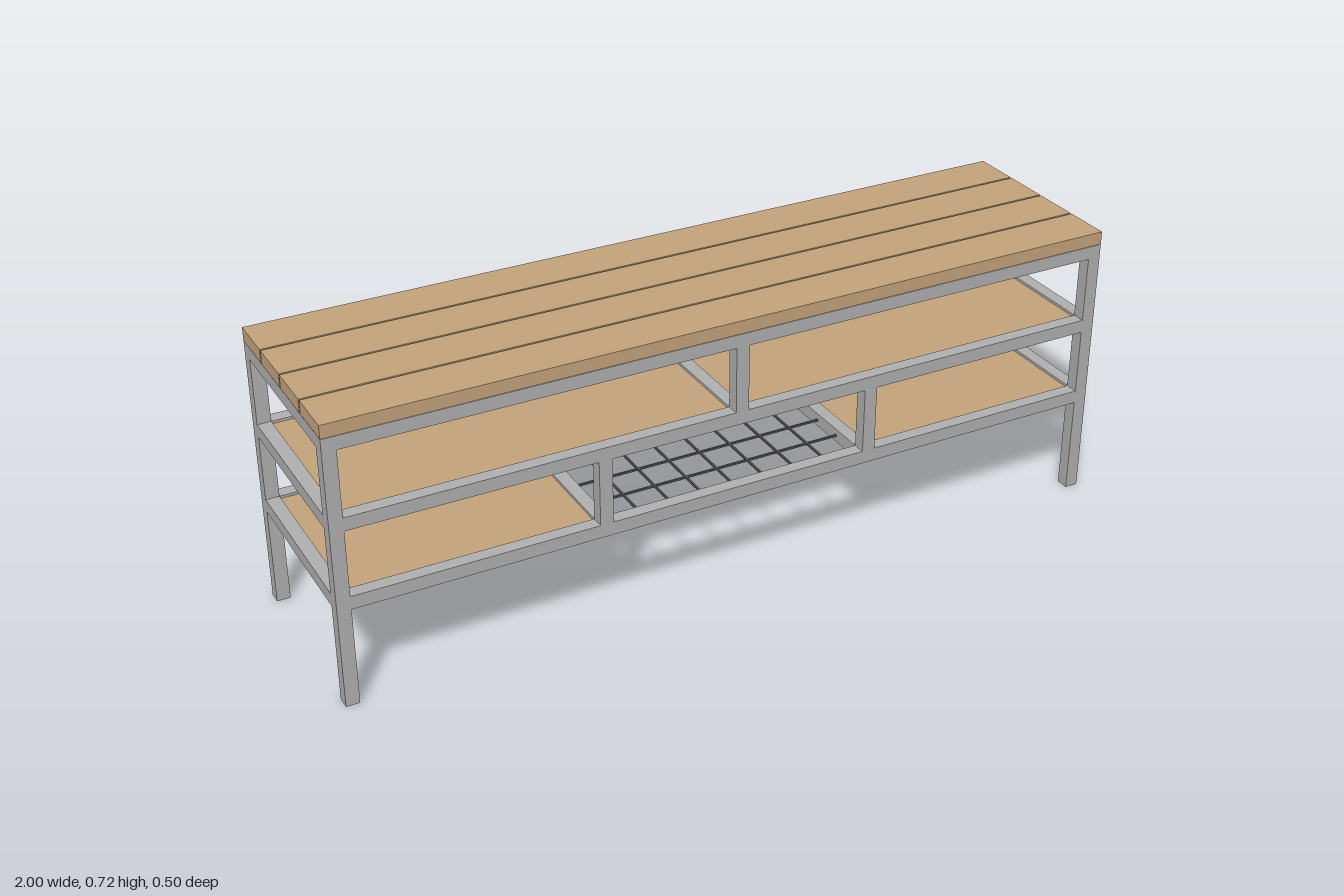
import * as THREE from 'three';

export function createModel() {
  const model = new THREE.Group();
  model.name = 'slattedBench';

  const mat = (name, color) => {
    const m = new THREE.MeshStandardMaterial({ color });
    m.name = name;
    return m;
  };
  const steel = mat('greySteel', 0xb0b0b0);
  const wood = mat('tanWood', 0xc4a47c);
  const wire = mat('darkWire', 0x555555);

  const box = (name, material, w, h, d, x, y, z) => {
    const mesh = new THREE.Mesh(new THREE.BoxGeometry(w, h, d), material);
    mesh.name = name;
    mesh.position.set(x, y, z);
    model.add(mesh);
  };

  const T = 0.0333;                       // square tube size
  const L = 2, D = 0.5;
  const legX = (L - T) / 2, legZ = (D - T) / 2;
  const low = 0.267, mid = 0.467, high = 0.667; // rail centre heights
  const frameTop = high + T / 2;

  // Legs
  for (const x of [-legX, legX])
    for (const z of [-legZ, legZ])
      box('leg', steel, T, frameTop, T, x, frameTop / 2, z);

  // Rails around each level
  for (const y of [low, mid, high]) {
    for (const s of [-1, 1]) {
      box('longRail', steel, L - 2 * T, T, T, 0, y, s * legZ);
      box('endRail', steel, T, T, D - 2 * T, s * legX, y, 0);
    }
  }

  // Short uprights and the cross bars beneath them
  const divider = (x, y0, y1) => {
    for (const s of [-1, 1])
      box('upright', steel, T, y1 - y0 - T, T, x, (y0 + y1) / 2, s * legZ);
    box('crossBar', steel, T, T, D - 2 * T, x, y0, 0);
  };
  const postX = 0.35;
  divider(0, mid, high);
  divider(-postX, low, mid);
  divider(postX, low, mid);

  // Shelf panels set inside the frame
  const shelf = (x0, x1, y) =>
    box('shelfPanel', wood, x1 - x0, 0.02, D - 2 * T, (x0 + x1) / 2, y, 0);
  const inner = L / 2 - T;
  for (const s of [-1, 1]) {
    const span = (a, b) => [Math.min(s * a, s * b), Math.max(s * a, s * b)];
    shelf(...span(T / 2, inner), mid);
    shelf(...span(postX + T / 2, inner), low);
  }

  // Wire grid in the lower middle bay
  const gridW = 2 * postX - T, gridD = D - 2 * T, r = 0.005;
  const nx = 8, nz = 5;
  for (let i = 1; i < nx; i++)
    box('crossWire', wire, r, r, gridD, -gridW / 2 + (gridW * i) / nx, low, 0);
  for (let i = 1; i < nz; i++)
    box('longWire', wire, gridW, r, r, 0, low, -gridD / 2 + (gridD * i) / nz);

  // Four top planks with narrow gaps
  const gap = 0.005, plankW = (D - 3 * gap) / 4, plankH = 0.0325;
  for (let i = 0; i < 4; i++)
    box('topPlank', wood, L, plankH, plankW, 0, 0.7172 - plankH / 2,
      -D / 2 + plankW / 2 + i * (plankW + gap));

  return model;
}
